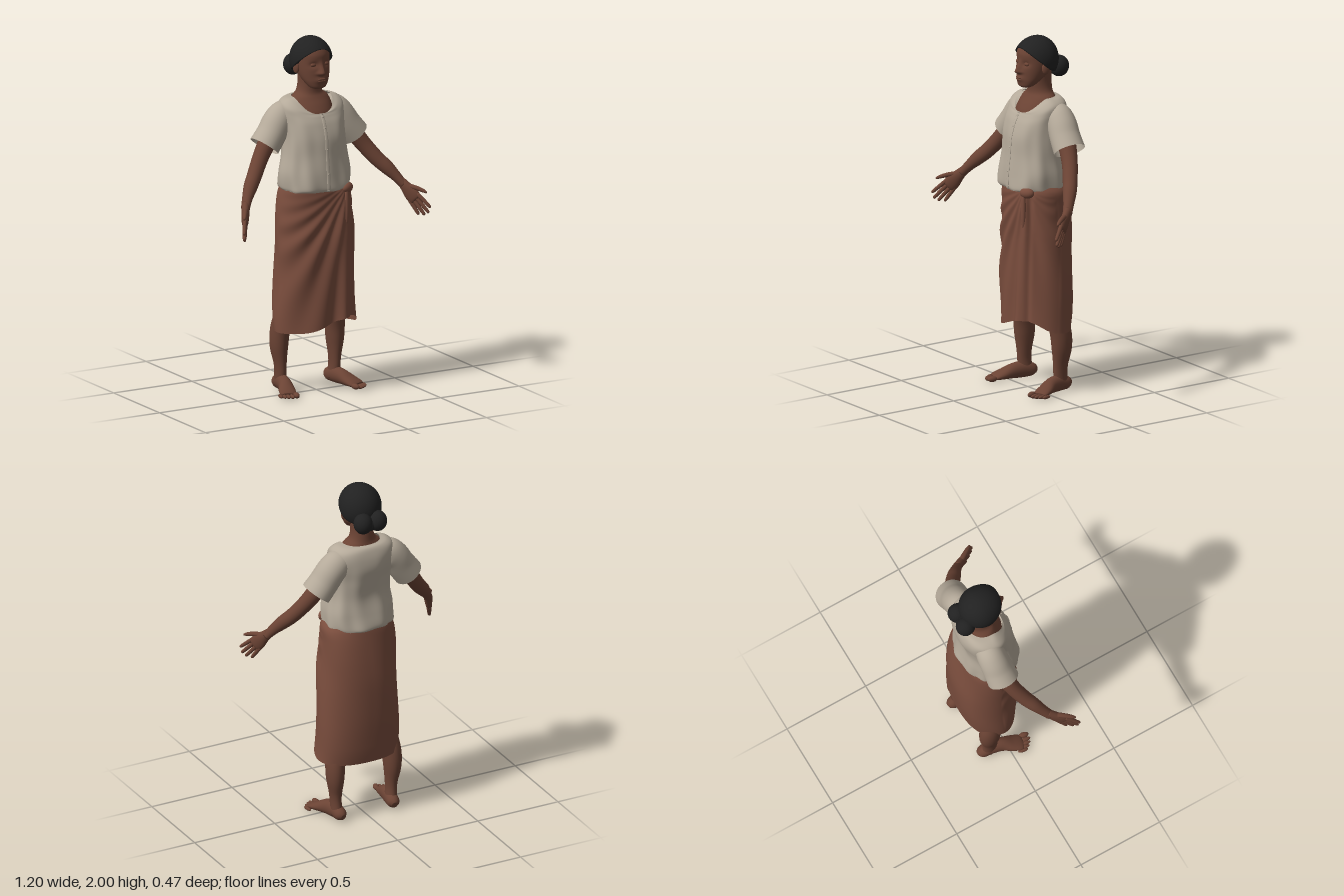
import * as THREE from 'three';

const V = (x, y, z) => new THREE.Vector3(x, y, z);
const mat = (name, color, side = THREE.FrontSide) => {
  const m = new THREE.MeshStandardMaterial({ color, side });
  m.name = name;
  return m;
};
const bump = (d, w) => Math.exp(-(d * d) / (w * w));
const pow = (s, p) => Math.sign(s) * Math.pow(Math.abs(s), p);

// smooth interpolation through a list of number rows, t in 0..1
function sample(rows, t) {
  const n = rows.length - 1;
  const i = Math.min(n - 1, Math.floor(t * n));
  const f = t * n - i;
  const [p, a, b, q] = [rows[Math.max(0, i - 1)], rows[i], rows[i + 1], rows[Math.min(n, i + 2)]];
  return a.map((v, k) => 0.5 * (2 * v + (b[k] - p[k]) * f + (2 * p[k] - 5 * v + 4 * b[k] - q[k]) * f * f
    + (3 * v - p[k] - 3 * b[k] + q[k]) * f * f * f));
}

// closed rings of points, fn(t, angle) -> Vector3; optional end caps
function rings(nRows, W, fn, cap = false) {
  const pos = [], idx = [];
  for (let i = 0; i <= nRows; i++)
    for (let j = 0; j < W; j++) pos.push(...fn(i / nRows, (j / W) * Math.PI * 2).toArray());
  for (let i = 0; i < nRows; i++)
    for (let j = 0; j < W; j++) {
      const a = i * W + j, b = i * W + ((j + 1) % W);
      idx.push(a, b, b + W, a, b + W, a + W);
    }
  if (cap) for (const row of [0, nRows]) {
    const c = V(0, 0, 0), id = pos.length / 3;
    for (let j = 0; j < W; j++) c.add(V().fromArray(pos, (row * W + j) * 3));
    pos.push(...c.divideScalar(W).toArray());
    for (let j = 0; j < W; j++) {
      const a = row * W + j, b = row * W + ((j + 1) % W);
      if (row) idx.push(a, b, id); else idx.push(b, a, id);
    }
  }
  const g = new THREE.BufferGeometry();
  g.setAttribute('position', new THREE.Float32BufferAttribute(pos, 3));
  g.setIndex(idx);
  g.computeVertexNormals();
  return g;
}

// horizontal section: half width, front z and back z
function oval(a, y, rx, zf, zb, p = 1, cx = 0) {
  const mid = (zf + zb) / 2;
  return V(cx + rx * pow(Math.sin(a), p), y, mid + ((zf - zb) / 2) * pow(Math.cos(a), p));
}

// limb through [x, y, z, radius along ref, other radius]
function limb(rows, ref, cols = 20, steps = 6, cap = true) {
  const at = t => sample(rows, Math.min(1, Math.max(0, t)));
  return rings((rows.length - 1) * steps, cols, (t, a) => {
    const [x, y, z, ra, rb] = at(t), e = 0.02;
    const T = V(...at(t + e).slice(0, 3)).sub(V(...at(t - e).slice(0, 3))).normalize();
    const u = ref.clone().addScaledVector(T, -ref.dot(T)).normalize();
    const v = T.clone().cross(u);
    return V(x, y, z).addScaledVector(u, ra * Math.cos(a)).addScaledVector(v, rb * Math.sin(a));
  }, cap);
}

export function createModel() {
  const root = new THREE.Group();
  const skin = mat('skin', 0x6b4334), cloth = mat('blouse cloth', 0xb5aa9a, THREE.DoubleSide);
  const wrap = mat('skirt cloth', 0x7a4d3d, THREE.DoubleSide), black = mat('hair', 0x212121, THREE.DoubleSide);
  const add = (name, geo, m, parent = root) => {
    const mesh = new THREE.Mesh(geo, m);
    mesh.name = name;
    parent.add(mesh);
    return mesh;
  };
  const ball = (name, m, c, s, parent = root) => {
    const b = add(name, new THREE.SphereGeometry(1, 24, 16), m, parent);
    b.position.set(...c);
    b.scale.set(...s);
    return b;
  };

  // head with brow, nose, lips and eye sockets
  const headRows = [[1.722, 0.028, 0.04, 0], [1.733, 0.05, 0.052, -0.03], [1.76, 0.069, 0.057, -0.07],
    [1.79, 0.082, 0.058, -0.11], [1.83, 0.091, 0.058, -0.14], [1.88, 0.096, 0.054, -0.16],
    [1.92, 0.094, 0.052, -0.165], [1.96, 0.075, 0.03, -0.14], [1.985, 0.04, -0.02, -0.1]];
  add('head', rings(64, 72, (t, a) => {
    const p = oval(a, ...sample(headRows, t), 0.95);
    if (Math.cos(a) > 0) {
      const nose = p.y > 1.816 ? bump(p.y - 1.816, 0.04) : bump(p.y - 1.816, 0.012);
      p.z += 0.03 * nose * bump(p.x, 0.012 + 0.009 * bump(p.y - 1.812, 0.014));
      p.z += 0.009 * bump(p.y - 1.775, 0.016) * bump(p.x, 0.03);
      p.z -= 0.01 * bump(p.y - 1.862, 0.016) * bump(Math.abs(p.x) - 0.04, 0.022);
    }
    return p;
  }, true), skin);
  for (const y of [1.7805, 1.7695]) ball('lip', skin, [0, y, 0.0625], [0.024, 0.006, 0.0055]);

  // neck and upper chest
  const neckRows = [[1.52, 0.13, 0.055, -0.165], [1.575, 0.127, 0.052, -0.165], [1.62, 0.121, 0.03, -0.16],
    [1.66, 0.107, 0.002, -0.154], [1.69, 0.074, -0.012, -0.149], [1.74, 0.062, -0.01, -0.147], [1.82, 0.064, 0, -0.146]];
  add('neck', rings(30, 32, (t, a) => oval(a, ...sample(neckRows, t))), skin);

  // hair cap with a hairline that drops from forehead to nape
  add('hair', rings(24, 64, (t, a) => {
    const c = Math.cos(a);
    const edge = c > 0 ? -0.3 + 0.92 * c : -0.3 + 0.36 * c;
    const f = edge + (Math.PI / 2 - edge) * Math.max(0, (t * 24 - 1) / 23);
    const r = Math.cos(f) * (t === 0 ? 0.82 : 1);
    return V(0.117 * r * Math.sin(a), 1.87 + 0.13 * Math.sin(f), -0.065 + (c > 0 ? 0.14 : 0.118) * r * c);
  }), black);
  for (const s of [-1, 1]) ball('hairBun', black, [s * 0.045, 1.82, -0.18], [0.053, 0.06, 0.055]);
  ball('bunKnot', black, [0, 1.81, -0.17], [0.045, 0.045, 0.045]);

  // blouse body with scooped neckline: y, half width, front, back, front dip
  const blouseRows = [[1.155, 0.19, 0.13, -0.187, 0], [1.175, 0.198, 0.138, -0.192, 0], [1.25, 0.2, 0.13, -0.18, 0],
    [1.35, 0.184, 0.117, -0.17, 0], [1.45, 0.178, 0.11, -0.185, 0], [1.53, 0.183, 0.09, -0.2, 0.005],
    [1.59, 0.188, 0.07, -0.2, 0.025], [1.635, 0.182, 0.06, -0.19, 0.055], [1.66, 0.15, 0.058, -0.175, 0.075],
    [1.667, 0.112, 0.054, -0.152, 0.085]];
  const blouseAt = (t, a, out = 0) => {
    const [y, rx, zf, zb, dip] = sample(blouseRows, t);
    const low = Math.max(0, 1 - t * 1.3);
    const w = out + 0.004 * low * Math.sin(11 * a + 5 * t) + 0.003 * (1 - t) * Math.sin(5 * a - 14 * t);
    return oval(a, y - dip * Math.max(0, Math.cos(a)) ** 1.3, rx + w, zf + w, zb - w, 0.84);
  };
  add('blouse', rings(54, 96, (t, a) => blouseAt(t, a)), cloth);
  // button placket and buttons
  add('placket', rings(54, 16, (t, a) =>
    blouseAt(t, 0.03 * Math.sin(a), 0.002 + 0.003 * Math.cos(a))), cloth);
  for (let i = 0; i < 6; i++)
    ball('button', cloth, blouseAt(0.08 + i * 0.15, 0, 0.005).toArray(), [0.005, 0.005, 0.003]);

  // wrapped skirt, built from hem to waist, folds fanning out of the knot
  const skirtRows = [[0.35, 0.243, 0.125, -0.192, 0.012], [0.45, 0.241, 0.125, -0.207, 0.01], [0.6, 0.236, 0.125, -0.218, 0.01],
    [0.8, 0.229, 0.122, -0.22, 0.01], [0.95, 0.222, 0.12, -0.212, 0.01], [1.08, 0.212, 0.118, -0.198, 0.01],
    [1.15, 0.203, 0.116, -0.185, 0.01], [1.19, 0.18, 0.105, -0.17, 0.005]];
  const knot = V(0.135, 1.16, 0.115);
  add('wrapSkirt', rings(90, 200, (t, a) => {
    const [y0, rx, zf, zb, cx] = sample(skirtRows, t);
    const d = Math.atan2(Math.sin(a - 0.5), Math.cos(a - 0.5));
    const y = y0 + 0.078 * bump(d, 0.7) * (1 - t) ** 2;
    const p = oval(a, y, rx, zf, zb, 0.86 + 0.2 * (1 - t) * Math.max(0, Math.cos(a + 0.9)), cx);
    const drop = Math.max(0, knot.y - y);
    const front = Math.max(0, Math.cos(a)) ** 0.5;
    const fan = Math.atan2(p.x - knot.x, drop + 0.02);
    // fanned folds, hanging pleat with a crease beside it, diagonal drapes behind
    let w = 0.008 * front * Math.sin(fan * 24 + 0.8) * Math.min(1, drop * 4);
    w -= 0.011 * front * bump(p.x - 0.155, 0.012);
    w += 0.007 * (1 - front) * Math.sin(3 * a + 10 * t) * Math.sin(Math.PI * t);
    p.z += (0.014 + 0.024 * (1 - t)) * front * bump(p.x - 0.1 - 0.025 * t, 0.042);
    return p.add(V(w * Math.sin(a), 0, w * Math.cos(a)));
  }), wrap);
  // tucked knot at the waist with its hanging fold
  ball('waistKnot', wrap, [0.138, 1.157, 0.103], [0.042, 0.03, 0.026]).rotation.y = 0.5;
  ball('knotFold', wrap, [0.125, 1.06, 0.118], [0.016, 0.11, 0.014]);

  for (const s of [1, -1]) {
    const half = new THREE.Group();
    half.name = s > 0 ? 'leftSide' : 'rightSide';
    half.scale.x = s;
    root.add(half);

    // eye and ear
    ball('eyelid', skin, [0.039, 1.861, 0.036], [0.019, 0.011, 0.011], half);
    ball('ear', skin, [0.1, 1.837, -0.05], [0.012, 0.034, 0.022], half).rotation.y = -0.3;

    // short flared sleeve
    add('sleeve', limb([[0.1, 1.575, -0.095, 0.06, 0.055], [0.15, 1.568, -0.095, 0.076, 0.08],
      [0.195, 1.53, -0.092, 0.083, 0.083], [0.237, 1.468, -0.085, 0.086, 0.083], [0.285, 1.405, -0.08, 0.09, 0.085]],
    V(0, 0, 1), 32, 6, false), cloth, half);

    // arm
    add('arm', limb([[0.2, 1.54, -0.09, 0.055, 0.055], [0.27, 1.43, -0.075, 0.05, 0.05], [0.33, 1.345, -0.05, 0.044, 0.045],
      [0.39, 1.265, -0.01, 0.041, 0.042], [0.435, 1.215, 0.025, 0.038, 0.039], [0.475, 1.165, 0.06, 0.03, 0.029],
      [0.505, 1.12, 0.09, 0.027, 0.023]], V(0, 0, 1)), skin, half);

    // hand: palm, four fingers and thumb on the upper outer edge
    const along = V(0.38, -0.74, 0.58).normalize();
    const across = V(0.375, 0.735, 0.57);
    across.addScaledVector(along, -across.dot(along)).normalize();
    const hand = (f, w) => V(0.5, 1.13, 0.085).addScaledVector(along, f).addScaledVector(across, w);
    const seg = (f, w, ra, rb) => [...hand(f, w).toArray(), ra, rb];
    add('palm', limb([seg(-0.015, 0, 0.025, 0.022), seg(0.03, 0.002, 0.033, 0.023), seg(0.075, 0.002, 0.043, 0.021),
      seg(0.11, 0, 0.041, 0.017), seg(0.122, 0, 0.034, 0.01)], across), skin, half);
    [[0.031, 0.044, 0.205], [0.011, 0.015, 0.222], [-0.01, -0.014, 0.215], [-0.03, -0.042, 0.192]].forEach(([w0, w1, len]) =>
      add('finger', limb([seg(0.1, w0, 0.012, 0.012), seg((0.1 + len) / 2, (w0 + w1) / 2, 0.011, 0.011),
        seg(len - 0.01, w1 * 0.97, 0.009, 0.009), seg(len, w1, 0.004, 0.004)], across, 12, 4), skin, half));
    add('thumb', limb([seg(0.03, 0.012, 0.016, 0.016), seg(0.07, 0.048, 0.014, 0.013), seg(0.11, 0.073, 0.011, 0.01),
      seg(0.13, 0.082, 0.005, 0.005)], V(0.8, -0.1, -0.6), 12, 4), skin, half);

    // leg
    add('leg', limb([[0.168, 0.03, -0.105, 0.034, 0.045], [0.172, 0.1, -0.098, 0.03, 0.043], [0.174, 0.16, -0.098, 0.034, 0.046],
      [0.178, 0.25, -0.103, 0.048, 0.06], [0.175, 0.34, -0.097, 0.053, 0.063], [0.16, 0.46, -0.07, 0.055, 0.06],
      [0.135, 0.65, -0.045, 0.07, 0.07]], V(1, 0, 0), 24), skin, half);

    // foot, turned slightly outwards, with toes
    add('foot', limb([[0.16, 0.032, -0.168, 0.016, 0.018], [0.164, 0.04, -0.145, 0.034, 0.036], [0.17, 0.048, -0.09, 0.036, 0.046],
      [0.182, 0.045, -0.03, 0.038, 0.043], [0.202, 0.031, 0.025, 0.047, 0.029], [0.217, 0.021, 0.065, 0.047, 0.018],
      [0.222, 0.017, 0.08, 0.036, 0.011]], V(1, 0, 0), 24), skin, half);
    [[0.188, 0.105, 0.016], [0.213, 0.103, 0.0115], [0.232, 0.092, 0.011], [0.249, 0.078, 0.0105], [0.263, 0.06, 0.01]]
      .forEach(([x, z, r]) => {
        ball('toe', skin, [x, r + 0.001, z], [r, r, 0.029], half).rotation.y = 0.18;
      });
  }
  return root;
}
